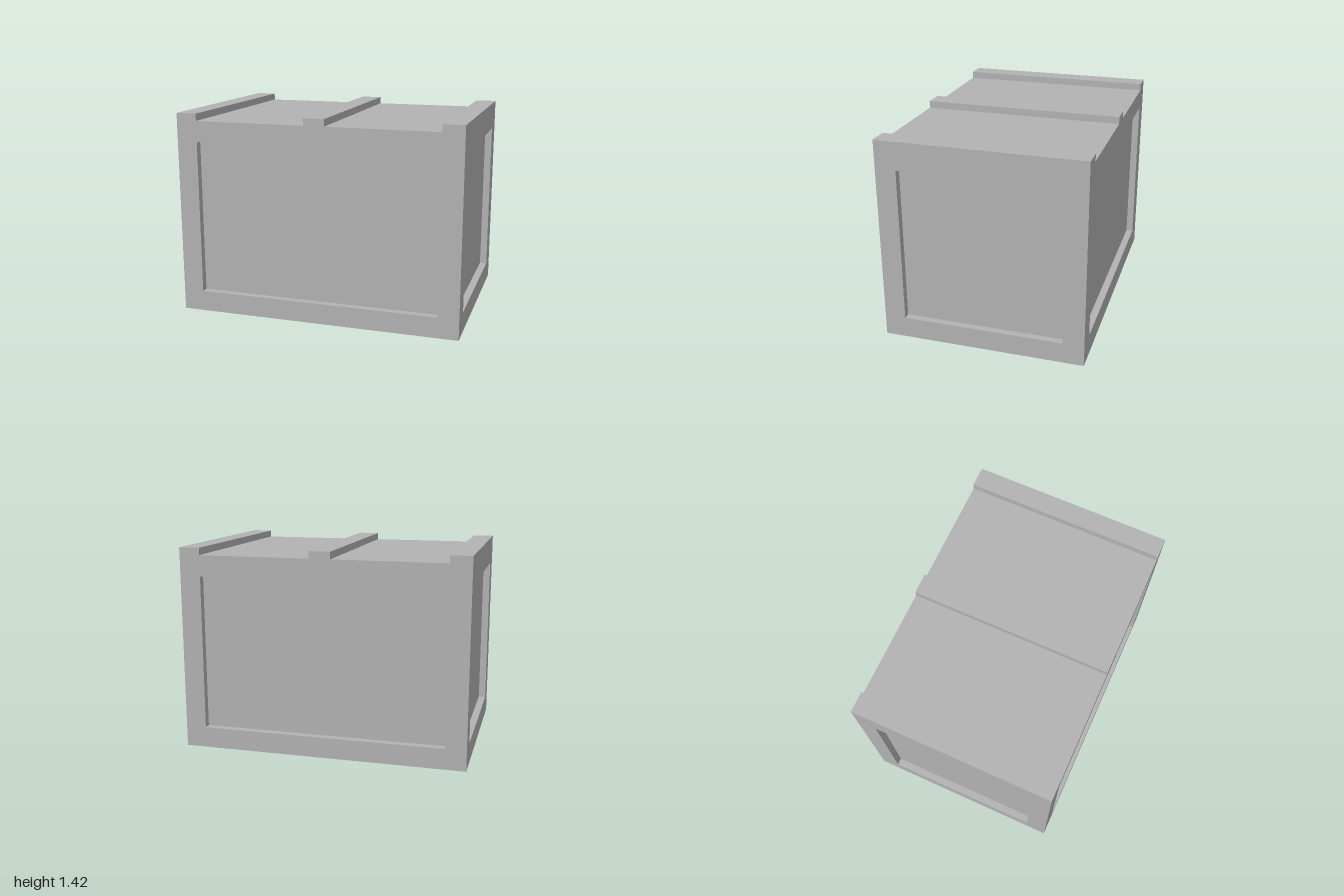
import * as THREE from 'three';

const W = 2, D = 1.41, H = 1.375; // crate body
const T = 0.05;                   // frame and batten thickness
const RAIL = 0.146;               // frame rail width

export function createModel() {
  const crate = new THREE.Group();
  crate.name = 'crate';
  const grey = new THREE.MeshStandardMaterial({ color: 0xb2b2b2 });
  grey.name = 'plain grey';

  const add = (geometry, name, x, y, z, turn = 0) => {
    const mesh = new THREE.Mesh(geometry, grey);
    mesh.name = name;
    mesh.position.set(x, y, z);
    mesh.rotation.y = turn;
    crate.add(mesh);
  };

  // Rectangular frame with an opening, standing on y = 0, facing +z
  const frame = (width, openWidth) => {
    const w = width / 2, o = openWidth / 2;
    const shape = new THREE.Shape([[-w, 0], [w, 0], [w, H], [-w, H]].map(p => new THREE.Vector2(...p)));
    const low = RAIL, high = 1.23;
    shape.holes.push(new THREE.Path([[-o, low], [-o, high], [o, high], [o, low]].map(p => new THREE.Vector2(...p))));
    return new THREE.ExtrudeGeometry(shape, { depth: T, bevelEnabled: false });
  };

  // Core box: its sides are the recessed panels
  add(new THREE.BoxGeometry(W - 2 * T, H, D - 2 * T), 'panelledCore', 0, H / 2, 0);

  // Frames around the four sides
  const longFrame = frame(W, W - 2 * RAIL);
  const shortFrame = frame(D - 2 * T, D - 2 * RAIL);
  add(longFrame, 'frontFrame', 0, 0, D / 2 - T);
  add(longFrame, 'backFrame', 0, 0, -(D / 2 - T), Math.PI);
  add(shortFrame, 'leftFrame', W / 2 - T, 0, 0, Math.PI / 2);
  add(shortFrame, 'rightFrame', -(W / 2 - T), 0, 0, -Math.PI / 2);

  // Three battens across the lid
  const batten = new THREE.BoxGeometry(RAIL, T, D);
  const reach = (W - RAIL) / 2;
  [['rightBatten', -reach], ['middleBatten', 0], ['leftBatten', reach]]
    .forEach(([name, x]) => add(batten, name, x, H + T / 2, 0));

  return crate;
}
